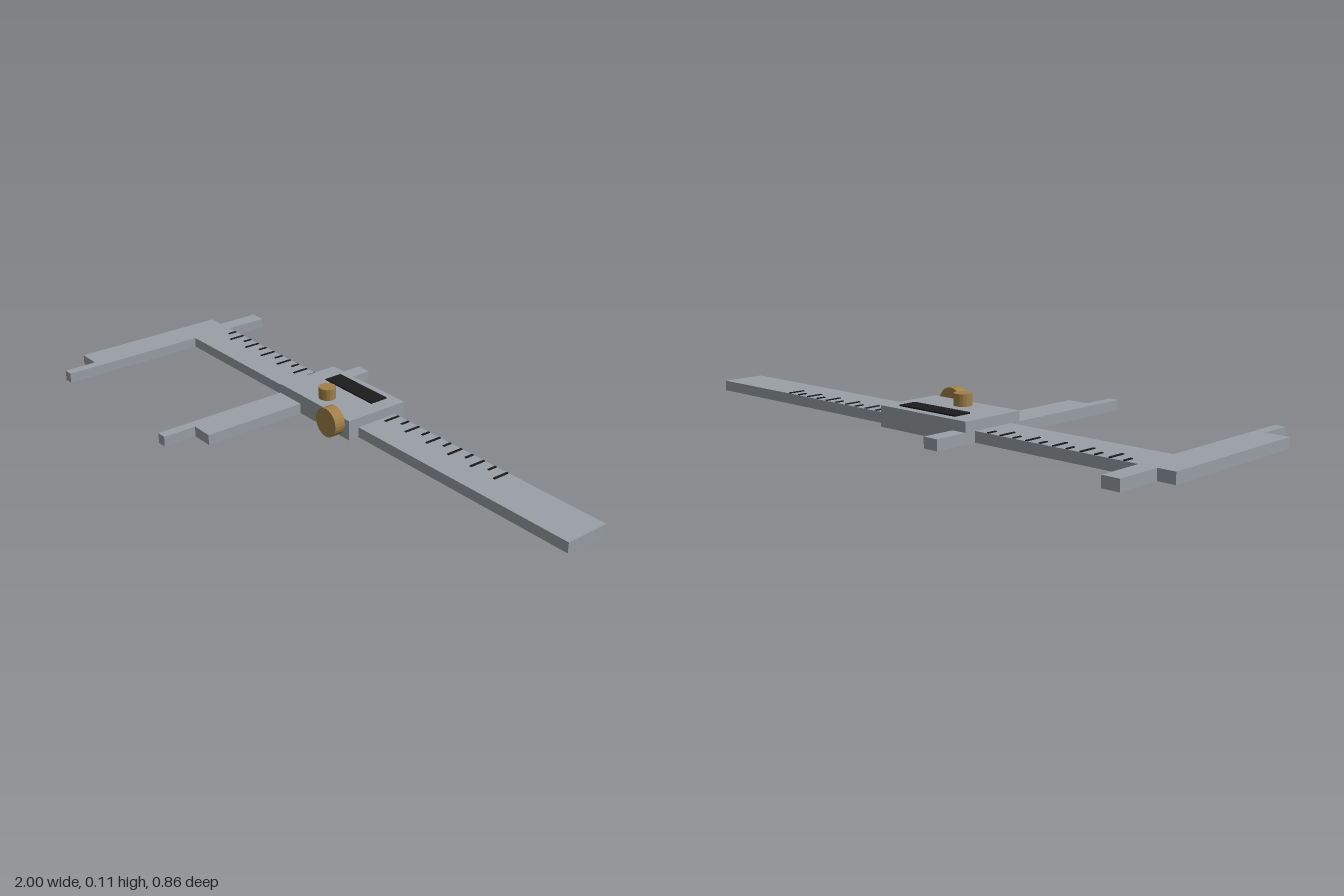
import * as THREE from 'three';

const material = (name, color, flatShading = false) => {
  const m = new THREE.MeshStandardMaterial({ color, flatShading });
  m.name = name;
  return m;
};

export function createModel() {
  const model = new THREE.Group();
  model.name = 'caliper';
  const steel = material('steel', 0x9aa0a6);
  const brass = material('brass', 0xa08048, true);
  const black = material('black', 0x1c1c1c);
  const thick = 0.036;

  const add = (name, geometry, mat, parent = model) => {
    const mesh = new THREE.Mesh(geometry, mat);
    mesh.name = name;
    parent.add(mesh);
    return mesh;
  };

  // Box from its minimum and maximum corners
  const box = (name, [x0, y0, z0], [x1, y1, z1], mat, parent) =>
    add(name, new THREE.BoxGeometry(x1 - x0, y1 - y0, z1 - z0), mat, parent)
      .position.set((x0 + x1) / 2, (y0 + y1) / 2, (z0 + z1) / 2);

  // Flat plate lying on the ground, from an [x, z] outline
  const plate = (name, outline) => {
    const shape = new THREE.Shape(outline.map(([x, z]) => new THREE.Vector2(x, -z)));
    const geometry = new THREE.ExtrudeGeometry(shape, { depth: thick, bevelEnabled: false });
    add(name, geometry.rotateX(-Math.PI / 2), steel);
  };

  // Beam with the fixed jaws at its left end
  plate('beamAndFixedJaws', [
    [-1, -0.27], [-0.94, -0.27], [-0.94, -0.43], [-0.88, -0.43], [-0.88, -0.27],
    [1, -0.27], [1, -0.11], [-0.88, -0.11], [-0.88, 0.43], [-0.915, 0.43],
    [-0.915, 0.31], [-1, 0.31],
  ]);

  // Sliding carriage and its jaws
  box('slider', [-0.28, 0, -0.31], [0.095, 0.07, -0.07], steel);
  plate('slidingLowerJaw', [
    [-0.28, -0.07], [-0.165, -0.07], [-0.165, 0.31], [-0.245, 0.31],
    [-0.245, 0.43], [-0.28, 0.43],
  ]);
  box('slidingUpperJaw', [-0.28, 0, -0.43], [-0.225, thick, -0.31], steel);
  box('display', [-0.205, 0.07, -0.28], [0.04, 0.075, -0.213], black);

  // Locking screw on top and thumb roller at the front
  add('lockScrew', new THREE.CylinderGeometry(0.03, 0.03, 0.04, 16), brass)
    .position.set(-0.093, 0.09, -0.13);
  const roller = new THREE.CylinderGeometry(0.051, 0.051, 0.04, 24).rotateX(Math.PI / 2);
  add('thumbRoller', roller, brass).position.set(0.028, 0.053, -0.045);
  box('rollerAxle', [0.018, 0.043, -0.072], [0.038, 0.063, -0.06], brass);

  // Scale marks, alternating short and long, omitted beneath the slider
  const scale = new THREE.Group();
  scale.name = 'scale';
  model.add(scale);
  for (let i = 0; i < 30; i++) {
    const x = -0.832 + i * 0.05;
    if (x > -0.29 && x < 0.1) continue;
    const end = i % 2 ? -0.207 : -0.235;
    box('scaleMark', [x - 0.004, thick, -0.268], [x + 0.004, thick + 0.003, end], black, scale);
  }
  return model;
}
